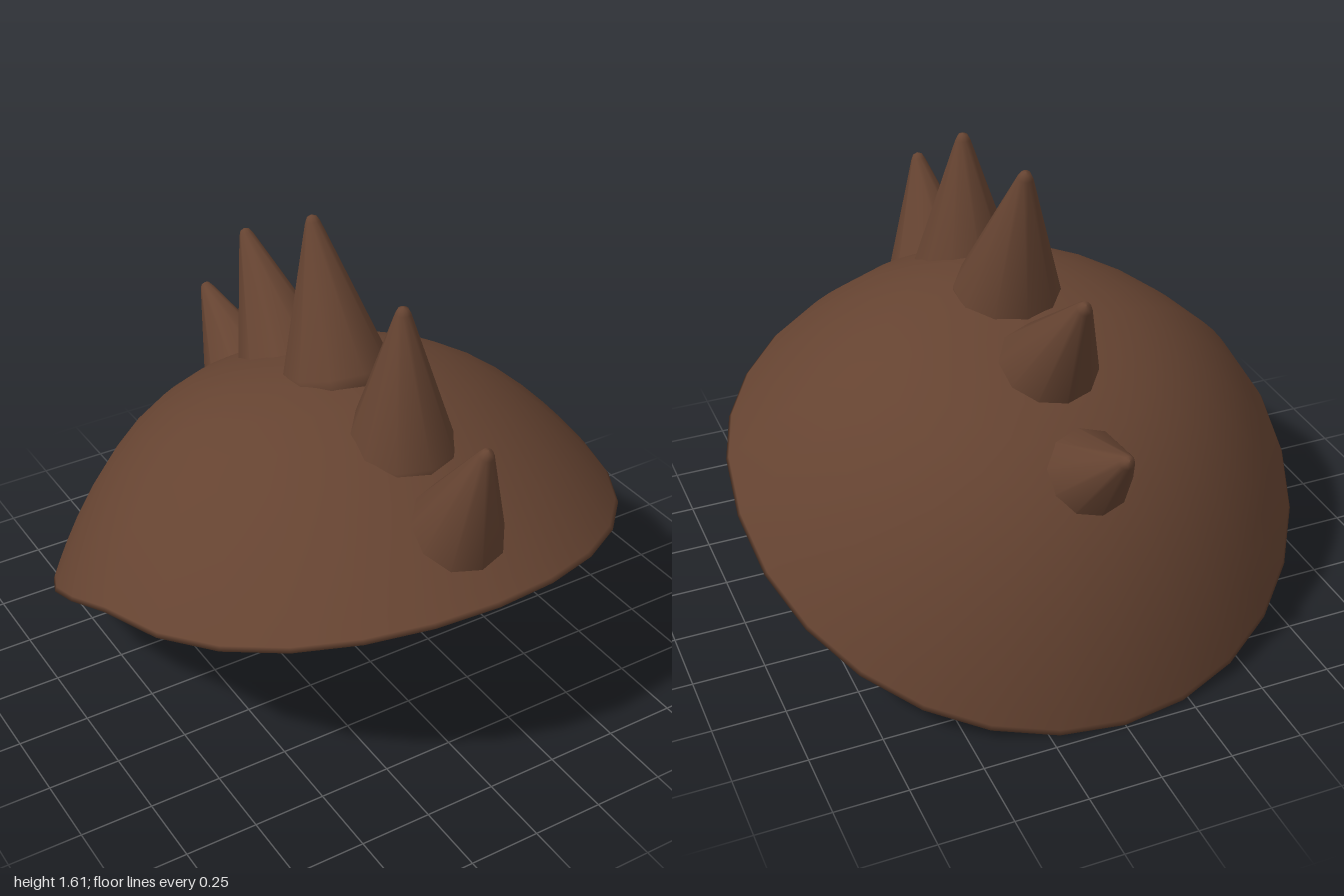
import * as THREE from 'three';
import { mergeVertices } from 'three/addons/utils/BufferGeometryUtils.js';

const material = new THREE.MeshStandardMaterial({ color: 0x654331 });

// Height of the rim above its tilted plane: straight rise at the back, curved fall at the front
function rimRise(u) {
  if (u < 0.192) return 0.142 * (u + 1.055) / 1.247;
  return 0.142 * (1 - (u - 0.192) / 0.863) ** 2;
}

// Hollow tilted dome: lathe of inner wall, lip and outer wall, then bent to the rim
function shellGeometry() {
  const rings = 12, segments = 28, points = [], radius = [];
  for (let k = 0; k <= rings; k++) radius.push(Math.sin((k / rings) * Math.PI / 2));
  radius.forEach((r) => points.push(new THREE.Vector2(r, 0)));
  [...radius].reverse().forEach((r) => points.push(new THREE.Vector2(r, 1)));
  let geometry = new THREE.LatheGeometry(points, segments);
  const pos = geometry.attributes.position;
  for (let i = 0; i < pos.count; i++) {
    const outer = pos.getY(i) > 0.5;
    const sx = pos.getX(i), sz = pos.getZ(i);
    const r = Math.hypot(sx, sz);
    const c = r > 1e-6 ? sz / r : 0;
    const scale = outer ? 1 : 0.965;
    const height = outer ? 0.73 : 0.695;
    const rise = rimRise(1.055 * c);
    const dome = 1 - Math.min(1, r) ** (2.65 - 0.15 * c);
    const n = rise + (height - rise) * dome;
    const u = 1.055 * sz * scale;
    pos.setXYZ(i, sx * scale, 0.37 + 0.937 * n + 0.351 * u, 0.937 * u - 0.351 * n);
  }
  geometry.deleteAttribute('normal');
  geometry.deleteAttribute('uv');
  geometry = mergeVertices(geometry, 1e-4);
  geometry.computeVertexNormals();
  return geometry;
}

// Spike with a rounded bottom and a blunt tip; origin at the tip, pointing up
function spikeGeometry(length, radius) {
  const points = [];
  for (let k = 0; k <= 6; k++) {
    const a = (k / 6) * Math.PI / 2;
    points.push(new THREE.Vector2(radius * Math.sin(a), -length - radius * Math.cos(a)));
  }
  points.push(new THREE.Vector2(0.026, -0.025));
  points.push(new THREE.Vector2(0.016, -0.006));
  points.push(new THREE.Vector2(0, 0));
  return new THREE.LatheGeometry(points, 10);
}

export function createModel() {
  const group = new THREE.Group();

  const shell = new THREE.Mesh(shellGeometry(), material);
  shell.name = 'helmetShell';
  group.add(shell);

  // Crest of spikes, front to back: tip z, tip y, lean in degrees, length, base radius
  const crest = [
    [0.885, 1.26, 22, 0.45, 0.183],
    [0.41, 1.525, 0, 0.5, 0.185],
    [-0.145, 1.61, -17.5, 0.52, 0.185],
    [-0.615, 1.365, -36.5, 0.5, 0.185],
    [-0.945, 1.0, -52, 0.45, 0.185],
  ];
  crest.forEach(([z, y, lean, length, radius], i) => {
    const spike = new THREE.Mesh(spikeGeometry(length, radius), material);
    spike.name = `crestSpike${i + 1}`;
    spike.position.set(0, y, z);
    spike.rotation.x = THREE.MathUtils.degToRad(lean);
    group.add(spike);
  });
  return group;
}
